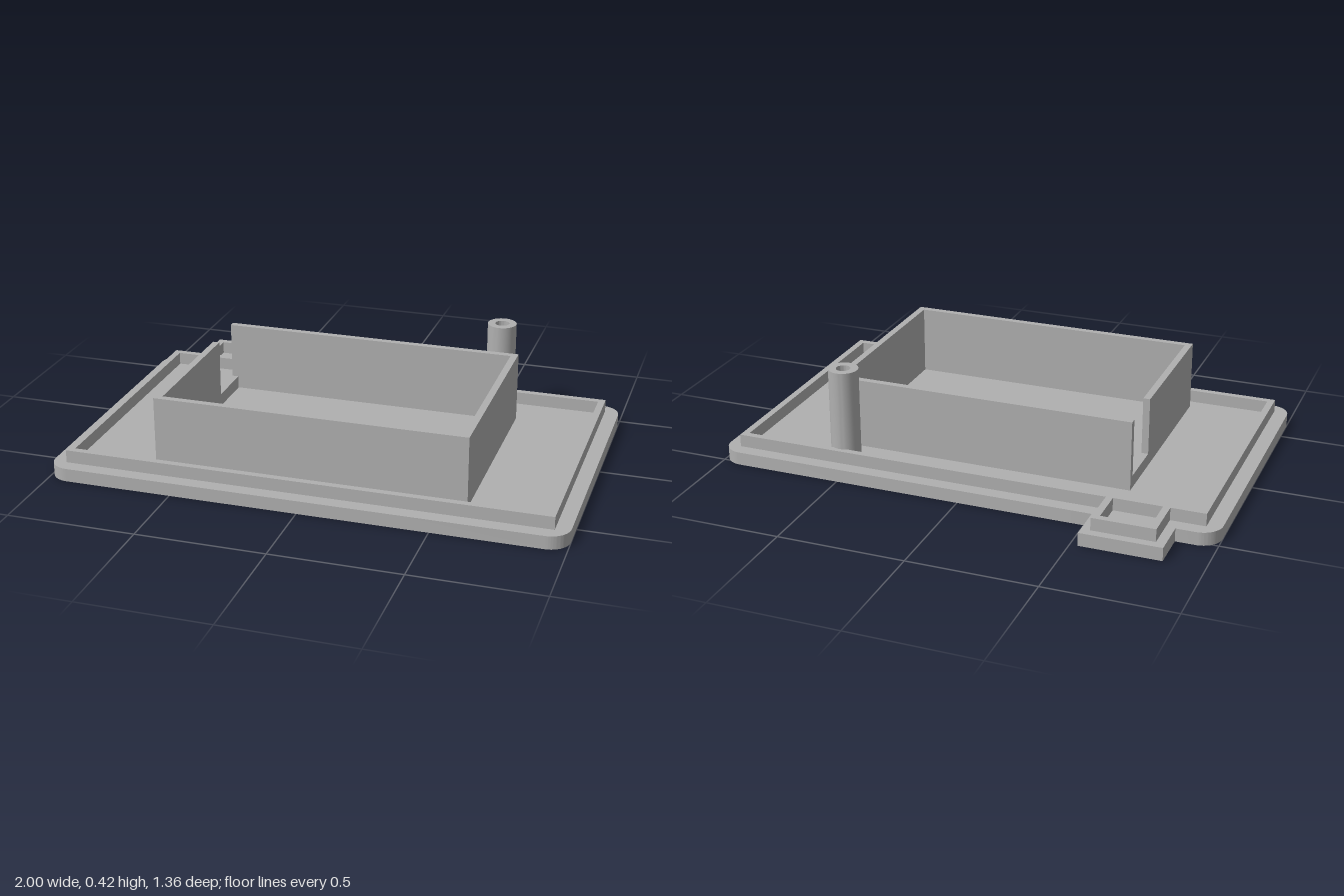
import * as THREE from 'three';
import { toCreasedNormals } from 'three/addons/utils/BufferGeometryUtils.js';

const BASE = 0.052, LIP = 0.102, WALL = 0.33, POST = 0.417, T = 0.027;
const POST_X = 0.519, POST_Z = -0.389, HOLE_R = 0.028;

export function createModel() {
  const group = new THREE.Group();
  const grey = new THREE.MeshStandardMaterial({ color: 0xb0b0b0 });
  grey.name = 'grey plastic';

  // Plan outlines are drawn as (x, -z) and extruded upwards.
  const outline = (points, PathType = THREE.Shape) =>
    new PathType(points.map(([x, z]) => new THREE.Vector2(x, -z)));
  const rect = (x0, x1, z0, z1) => [[x0, z1], [x1, z1], [x1, z0], [x0, z0]];
  const circle = (PathType, r) => new PathType().absarc(POST_X, -POST_Z, r, 0, Math.PI * 2);

  function add(name, shape, y0, y1) {
    let geo = new THREE.ExtrudeGeometry(shape, { depth: y1 - y0, bevelEnabled: false, curveSegments: 20 });
    geo.rotateX(-Math.PI / 2);
    geo.translate(0, y0, 0);
    geo = toCreasedNormals(geo, 0.6);
    const mesh = new THREE.Mesh(geo, grey);
    mesh.name = name;
    group.add(mesh);
  }

  // Base plate with rounded corners, a square tab at the back and a screw hole
  const r = 0.08, front = -0.68, back = 0.522, tabBack = 0.678;
  const base = new THREE.Shape();
  base.moveTo(-1 + r, front);
  base.absarc(1 - r, front + r, r, -Math.PI / 2, 0);
  base.absarc(1 - r, back - r, r, 0, Math.PI / 2);
  base.lineTo(-0.53, back);
  base.lineTo(-0.53, tabBack);
  base.lineTo(-0.844, tabBack);
  base.lineTo(-0.844, back);
  base.absarc(-1 + r, back - r, r, Math.PI / 2, Math.PI);
  base.absarc(-1 + r, front + r, r, Math.PI, Math.PI * 1.5);
  base.holes.push(circle(THREE.Path, HOLE_R));
  add('basePlate', base, 0, BASE);

  // Raised lip around the plate
  const lip = outline(rect(-0.943, 0.943, -0.467, 0.624));
  lip.holes.push(outline(rect(-0.943 + T, 0.943 - T, -0.467 + T, 0.624 - T), THREE.Path));
  add('lip', lip, BASE, LIP);

  // Three-sided lip on the tab
  const x0 = -0.808, x1 = -0.565, z0 = -0.644, z1 = -0.467;
  add('tabLip', outline([
    [x0, z1], [x0 + T, z1], [x0 + T, z0 + T], [x1 - T, z0 + T],
    [x1 - T, z1], [x1, z1], [x1, z0], [x0, z0],
  ]), BASE, LIP);

  // Open tray: a low closed ring, then taller walls leaving a notch in one end
  const L = -0.604, R = 0.61, B = -0.291, F = 0.549, notch = -0.062;
  const ring = outline(rect(L, R, B, F));
  ring.holes.push(outline(rect(L + T, R - T, B + T, F - T), THREE.Path));
  add('traySill', ring, BASE, LIP);
  add('trayWalls', outline([
    [L, B], [R, B], [R, F], [L, F], [L, notch], [L + T, notch],
    [L + T, F - T], [R - T, F - T], [R - T, B + T], [L, B + T],
  ]), LIP, WALL);

  // Hollow screw post
  const post = circle(THREE.Shape, 0.058);
  post.holes.push(circle(THREE.Path, HOLE_R));
  add('screwPost', post, BASE, POST);

  return group;
}
